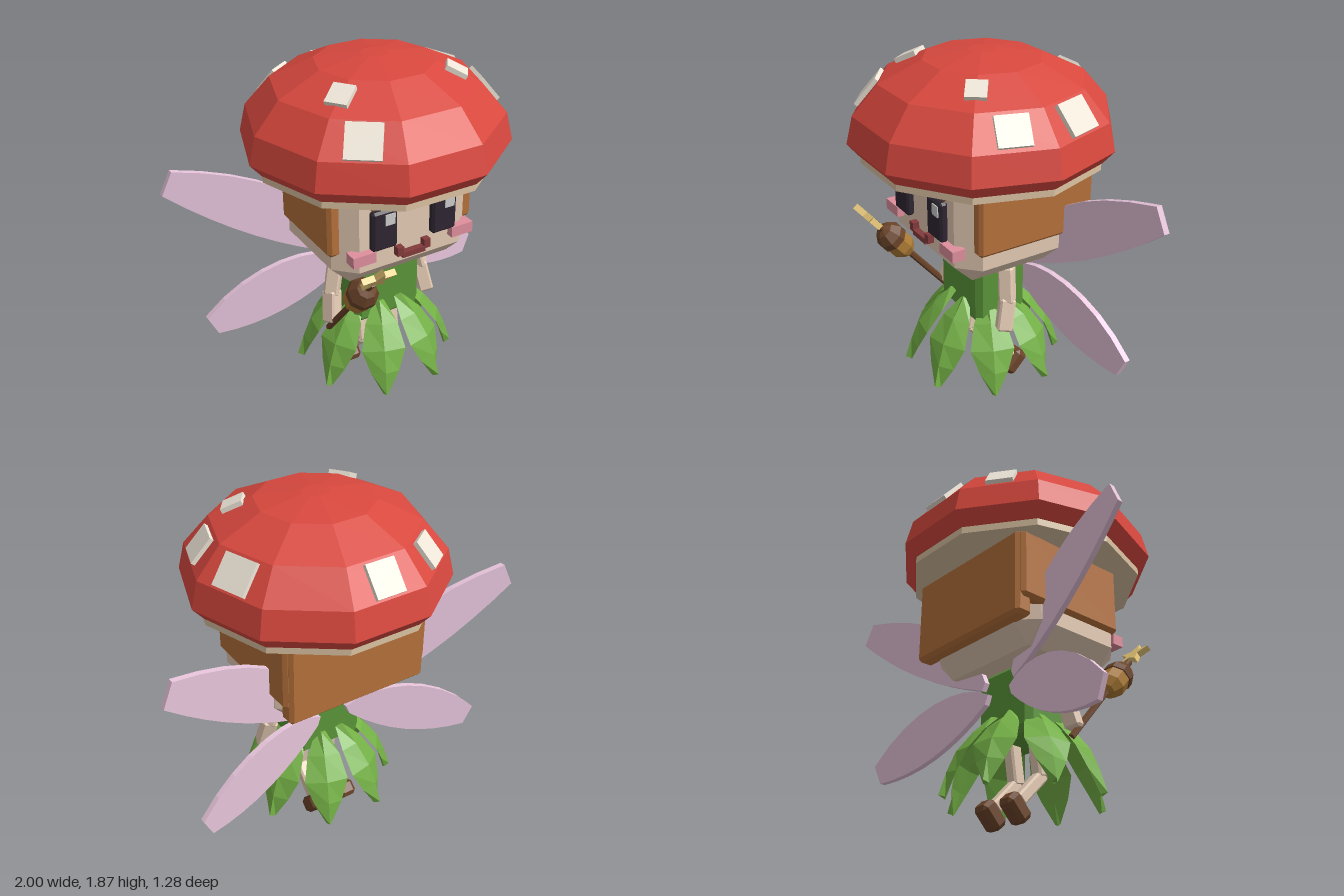
import * as THREE from 'three';
import { ConvexGeometry } from 'three/addons/geometries/ConvexGeometry.js';

const V = (x, y, z) => new THREE.Vector3(x, y, z);
const mat = (color, side = THREE.FrontSide) =>
  new THREE.MeshStandardMaterial({ color, flatShading: true, roughness: 0.9, side });

const M = {
  red: mat(0xd8483e), cream: mat(0xeee6d8), gill: mat(0xdcc3a2), skin: mat(0xe3c9b3),
  hair: mat(0xb5713a), dark: mat(0x2e2632), shine: mat(0xc4c4c4), brow: mat(0x704526),
  mouth: mat(0x843a3c), pink: mat(0xdf8f9d), green: mat(0x5a9538), leaf: mat(0x74b046),
  wing: mat(0xe8c5dc, THREE.DoubleSide), brown: mat(0x6b4429), nut: mat(0xac7a34), gold: mat(0xe8c878),
};

// Box with every edge cut by one flat bevel
function bevelBox(w, h, d, c) {
  const pts = [];
  for (const x of [-1, 1]) for (const y of [-1, 1]) for (const z of [-1, 1]) {
    const a = w / 2, b = h / 2, e = d / 2;
    pts.push(V(x * a, y * (b - c), z * (e - c)), V(x * (a - c), y * b, z * (e - c)), V(x * (a - c), y * (b - c), z * e));
  }
  return new ConvexGeometry(pts);
}

// Folded leaf: diamond cross-sections from root to tip, z pointing outwards
function petalGeometry() {
  const rows = [[0.155, 0.56, 0.025], [0.245, 0.47, 0.085], [0.33, 0.36, 0.115], [0.375, 0.25, 0.075], [0.41, 0.135, 0.015]];
  const pos = [], idx = [];
  rows.forEach(([r, y, w]) => pos.push(-w, y, r - 0.01, 0, y + 0.01, r + 0.02, w, y, r - 0.01, 0, y - 0.01, r - 0.015));
  for (let i = 0; i < rows.length - 1; i++) for (let j = 0; j < 4; j++) {
    const a = i * 4 + j, d = i * 4 + (j + 1) % 4, b = a + 4, c = d + 4;
    idx.push(a, b, c, a, c, d);
  }
  const e = (rows.length - 1) * 4;
  idx.push(0, 1, 2, 0, 2, 3, e, e + 2, e + 1, e, e + 3, e + 2);
  const g = new THREE.BufferGeometry();
  g.setAttribute('position', new THREE.Float32BufferAttribute(pos, 3));
  g.setIndex(idx);
  g.computeVertexNormals();
  return g;
}

export function createModel() {
  const root = new THREE.Group();
  root.name = 'mushroomFairy';

  const add = (parent, name, geo, material, x = 0, y = 0, z = 0) => {
    const m = new THREE.Mesh(geo, material);
    m.name = name;
    m.position.set(x, y, z);
    parent.add(m);
    return m;
  };
  const group = (name, parent = root) => {
    const g = new THREE.Group();
    g.name = name;
    parent.add(g);
    return g;
  };
  // Square limb segment between two points
  const limb = (parent, name, a, b, t, material) => {
    const dir = b.clone().sub(a);
    const m = add(parent, name, bevelBox(t, dir.length() + t * 0.3, t, 0.01), material);
    m.position.copy(a).add(b).multiplyScalar(0.5);
    m.quaternion.setFromUnitVectors(V(0, 1, 0), dir.normalize());
  };

  // Mushroom cap, ten-sided
  const cap = group('cap');
  const profile = [[0, 1.378], [0.615, 1.378], [0.672, 1.445], [0.638, 1.585], [0.51, 1.733], [0.295, 1.835], [0.07, 1.87], [0, 1.872]];
  add(cap, 'capDome', new THREE.LatheGeometry(profile.map(p => new THREE.Vector2(...p)), 10, Math.PI / 2), M.red);
  add(cap, 'capUnderside', new THREE.CylinderGeometry(0.61, 0.61, 0.04, 10, 1, false, Math.PI / 2), M.gill, 0, 1.362, 0);

  // Cap spots: azimuth in degrees, width, height, upper ring or not
  const spots = [[180, 0.155, 0.165], [216, 0.14, 0.15], [108, 0.185, 0.165], [72, 0.16, 0.15], [-36, 0.17, 0.17],
    [-54, 0.11, 0.12, true], [54, 0.1, 0.11, true]];
  for (const [deg, w, h, upper] of spots) {
    const a = THREE.MathUtils.degToRad(deg), r = upper ? 0.385 : 0.55;
    const s = add(cap, 'capSpot', new THREE.BoxGeometry(w, h, 0.035), M.cream,
      Math.sin(a) * r, upper ? 1.792 : 1.66, Math.cos(a) * r);
    s.rotation.set(upper ? -1.12 : -0.69, a, 0, 'YXZ');
  }

  // Head and hair
  const head = group('head');
  add(head, 'face', bevelBox(0.78, 0.64, 0.68, 0.1), M.skin, 0, 1.135, 0);
  add(head, 'backHair', bevelBox(0.79, 0.45, 0.095, 0.018), M.hair, 0, 1.13, -0.352);
  for (const s of [-1, 1]) {
    add(head, 'sideHair', bevelBox(0.075, 0.36, 0.65, 0.018), M.hair, s * 0.378, 1.175, -0.055);
    add(head, 'eye', bevelBox(0.14, 0.212, 0.045, 0.012), M.dark, s * 0.17, 1.138, 0.36);
    add(head, 'eyeShine', new THREE.BoxGeometry(0.054, 0.058, 0.02), M.shine, s * 0.17 + 0.024, 1.195, 0.378);
    add(head, 'cheek', new THREE.BoxGeometry(0.125, 0.057, 0.07), M.pink, s * 0.282, 1.007, 0.345);
    add(head, 'mouthCorner', new THREE.BoxGeometry(0.036, 0.048, 0.04), M.mouth, s * 0.077, 0.988, 0.355);
    for (const t of [-1, 1]) {
      const b = add(head, 'eyebrow', new THREE.BoxGeometry(0.145, 0.028, 0.03), M.brow, s * 0.168, 1.285, 0.352 + t * 0.004);
      b.rotation.z = t * 0.27;
    }
  }
  add(head, 'mouth', new THREE.BoxGeometry(0.13, 0.028, 0.04), M.mouth, 0, 0.962, 0.355);

  // Torso and petal skirt
  add(root, 'torso', bevelBox(0.39, 0.37, 0.295, 0.03), M.green, 0, 0.635, 0);
  const skirt = group('skirt'), petal = petalGeometry();
  for (let i = 0; i < 8; i++)
    add(skirt, 'petal', petal, M.leaf).rotation.y = (i + 0.5) * Math.PI / 4;

  // Arms, legs, shoes and wings on both sides
  for (const s of [-1, 1]) {
    const side = s > 0 ? 'left' : 'right';
    const arm = group(side + 'Arm');
    limb(arm, 'upperArm', V(s * 0.238, 0.785, 0.005), V(s * 0.272, 0.62, 0.02), 0.078, M.skin);
    limb(arm, 'forearm', V(s * 0.272, 0.62, 0.02), V(s * 0.295, 0.475, 0.055), 0.08, M.skin);

    const leg = group(side + 'Leg');
    limb(leg, 'thigh', V(s * 0.09, 0.5, -0.01), V(s * 0.09, 0.265, 0.025), 0.07, M.skin);
    limb(leg, 'shin', V(s * 0.09, 0.265, 0.025), V(s * 0.09, 0.12, -0.115), 0.062, M.skin);
    add(leg, 'shoe', bevelBox(0.1, 0.09, 0.145, 0.02), M.brown, s * 0.09, 0.075, -0.14).rotation.x = 0.82;

    const upper = new THREE.Shape();
    upper.moveTo(s * 0.1, 0.76);
    upper.bezierCurveTo(s * 0.2, 1.1, s * 0.55, 1.28, s * 0.945, 1.35);
    upper.lineTo(s * 1.0, 1.23);
    upper.quadraticCurveTo(s * 0.58, 0.865, s * 0.12, 0.72);
    const lower = new THREE.Shape();
    lower.moveTo(s * 0.08, 0.69);
    lower.bezierCurveTo(s * 0.25, 0.8, s * 0.6, 0.75, s * 0.85, 0.465);
    lower.lineTo(s * 0.8, 0.36);
    lower.quadraticCurveTo(s * 0.42, 0.36, s * 0.1, 0.64);
    const wings = group(side + 'Wings');
    for (const [name, shape] of [['upperWing', upper], ['lowerWing', lower]]) {
      const g = new THREE.ExtrudeGeometry(shape, { depth: 0.03, bevelEnabled: false, curveSegments: 8 });
      // Sweep the wing backwards towards its tip
      const p = g.attributes.position;
      for (let i = 0; i < p.count; i++) p.setZ(i, p.getZ(i) - 0.16 - 0.19 * Math.abs(p.getX(i)));
      g.computeVertexNormals();
      add(wings, name, g, M.wing);
    }
  }

  // Acorn wand, tilted forward in the right hand
  const wand = group('wand');
  wand.position.set(-0.3, 0.41, 0.03);
  wand.rotation.x = 0.7;
  const lathe = pts => new THREE.LatheGeometry(pts.map(p => new THREE.Vector2(...p)), 8, Math.PI / 8);
  add(wand, 'stick', new THREE.CylinderGeometry(0.018, 0.018, 0.45, 6), M.brown, 0, 0.225, 0);
  add(wand, 'acornNut', lathe([[0, 0.39], [0.045, 0.405], [0.073, 0.455], [0.073, 0.54], [0, 0.54]]), M.nut);
  add(wand, 'acornCap', lathe([[0, 0.52], [0.08, 0.525], [0.08, 0.565], [0.05, 0.615], [0.018, 0.63], [0.018, 0.69], [0, 0.69]]), M.brown);
  const star = new THREE.Shape();
  for (let i = 0; i < 10; i++) {
    const a = i * Math.PI / 5, r = i % 2 ? 0.04 : 0.095;
    star[i ? 'lineTo' : 'moveTo'](Math.sin(a) * r, Math.cos(a) * r);
  }
  add(wand, 'star', new THREE.ExtrudeGeometry(star, { depth: 0.032, bevelEnabled: false }), M.gold, 0, 0.755, -0.016);

  return root;
}
